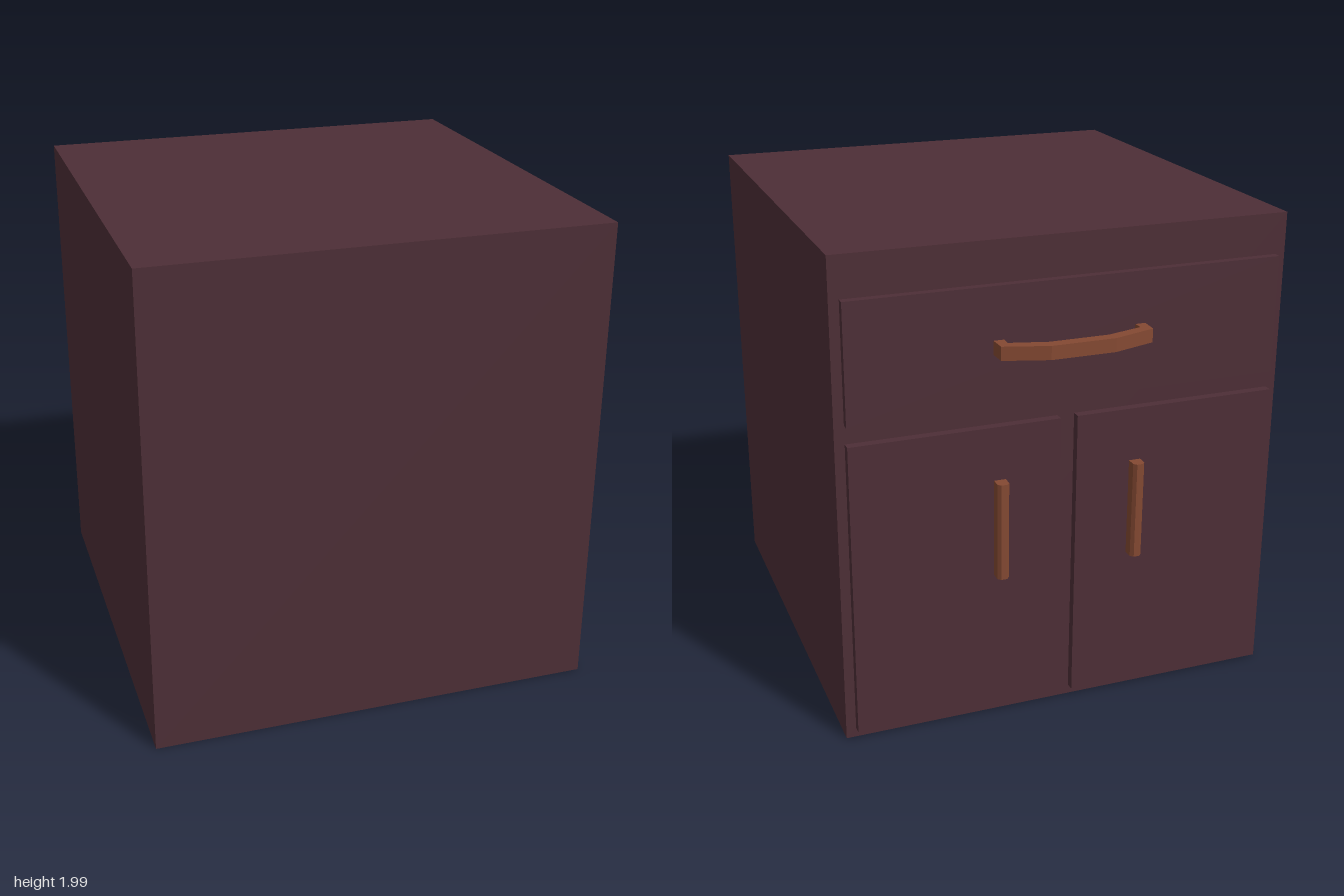
import * as THREE from 'three';

const wood = new THREE.MeshStandardMaterial({ color: 0x4d2e36 });
wood.name = 'darkWood';
const copper = new THREE.MeshStandardMaterial({ color: 0x844932 });
copper.name = 'copperBrown';

const BACK = -0.84; // face of the cabinet that carries the drawer and doors

// Box given by its minimum and maximum corners
function box(name, [x0, y0, z0], [x1, y1, z1]) {
  const geometry = new THREE.BoxGeometry(x1 - x0, y1 - y0, z1 - z0);
  geometry.translate((x0 + x1) / 2, (y0 + y1) / 2, (z0 + z1) / 2);
  const mesh = new THREE.Mesh(geometry, wood);
  mesh.name = name;
  return mesh;
}

// Upright prism from a plan outline of [x, depth], where depth points to -z
function handle(name, outline, y0, y1) {
  const shape = new THREE.Shape(outline.map(([x, d]) => new THREE.Vector2(x, d)));
  const geometry = new THREE.ExtrudeGeometry(shape, { depth: y1 - y0, bevelEnabled: false });
  geometry.rotateX(-Math.PI / 2);
  geometry.translate(0, y0, 0);
  const mesh = new THREE.Mesh(geometry, copper);
  mesh.name = name;
  return mesh;
}

export function createModel() {
  const group = new THREE.Group();
  group.name = 'cabinet';

  group.add(box('cabinetBody', [-0.92, 0, BACK], [0.92, 1.985, 1]));
  group.add(box('drawerFront', [-0.88, 1.34, -0.872], [0.88, 1.82, BACK]));

  // Bowed drawer pull, mirrored from one half of its outline
  const outer = [[0.31, 0.868], [0.307, 0.945], [0.13, 1]];
  const inner = [[0.12, 0.953], [0.27, 0.912], [0.267, 0.868]];
  const half = [...outer, ...inner];
  const mirror = (points) => points.map(([x, d]) => [-x, d]).reverse();
  const pull = [...half.slice(0, 3), ...mirror(outer), ...mirror(inner), ...inner];
  group.add(handle('drawerHandle', pull, 1.555, 1.61));

  // Pair of doors, each with a chamfered upright bar
  for (const side of [-1, 1]) {
    const label = side > 0 ? 'left' : 'right';
    const xs = [side * 0.035, side * 0.88].sort((a, b) => a - b);
    group.add(box(label + 'Door', [xs[0], 0.04, -0.876], [xs[1], 1.265, BACK]));
    const bar = [[-0.024, 0.874], [0.024, 0.874], [0.024, 0.915], [0.012, 0.928], [-0.012, 0.928], [-0.024, 0.915]];
    const doorHandle = handle(label + 'DoorHandle', bar, 0.64, 1.045);
    doorHandle.position.x = side * 0.285;
    group.add(doorHandle);
  }

  return group;
}
